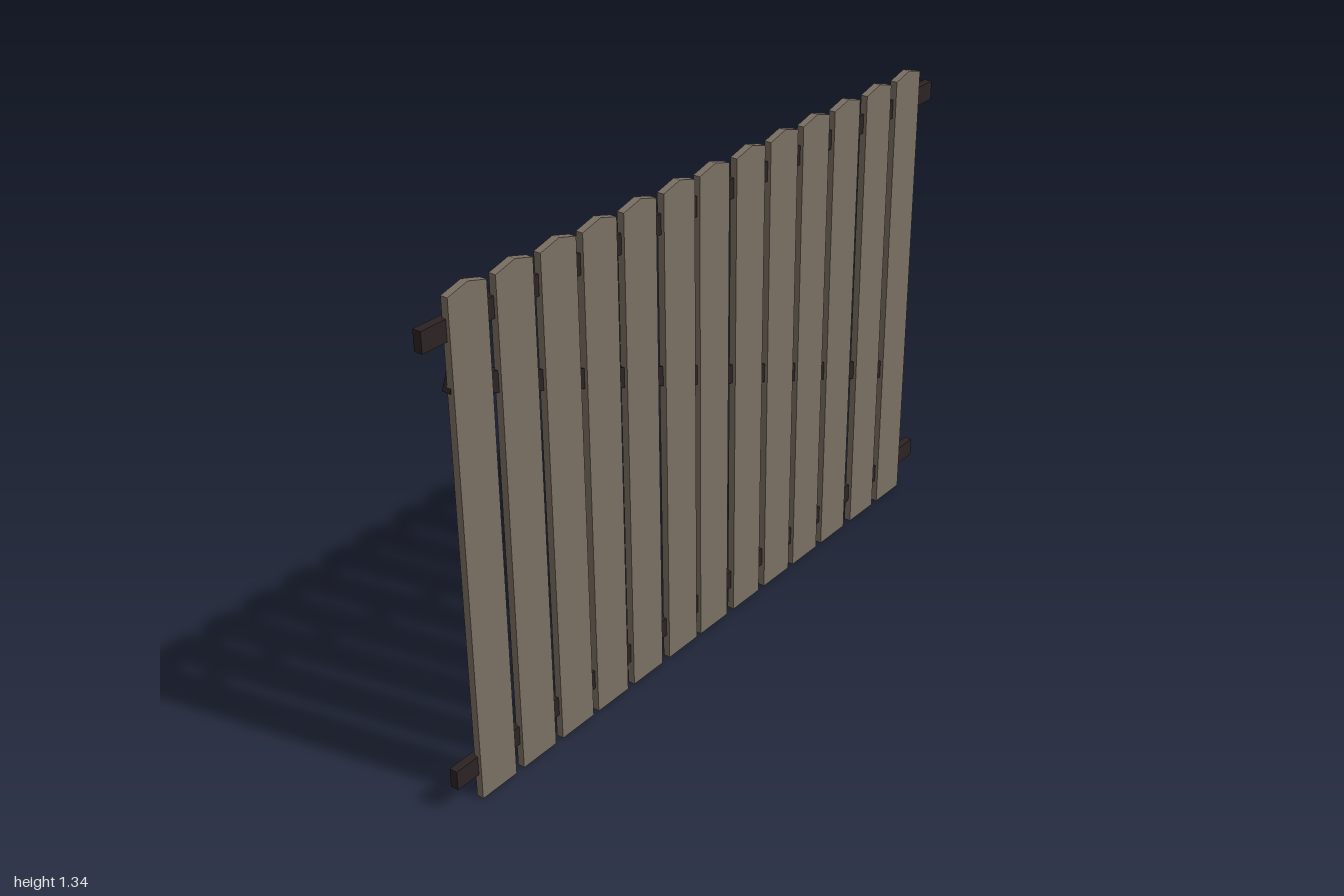
import * as THREE from 'three';

const wood = new THREE.MeshStandardMaterial({ color: 0x7b7064 });
wood.name = 'weatheredWood';
const darkWood = new THREE.MeshStandardMaterial({ color: 0x2c2224 });
darkWood.name = 'darkWood';

// Picket centres, slightly uneven like hand-set boards
const picketX = [-0.867, -0.722, -0.58, -0.44, -0.297, -0.151, -0.013,
  0.135, 0.277, 0.419, 0.562, 0.714, 0.86];

// Upright board with a shallow pointed top and a slight lean
function makePicket(x, i) {
  const w = 0.059, lean = i % 3 === 2 ? 0.001 : 0.003;
  const shape = new THREE.Shape([
    [-w - lean, 0], [w - lean, 0], [w, 1.324], [0.003, 1.34], [-w, 1.324],
  ].map(([px, py]) => new THREE.Vector2(px, py)));
  const geometry = new THREE.ExtrudeGeometry(shape, { depth: 0.02, bevelEnabled: false });
  const picket = new THREE.Mesh(geometry, wood);
  picket.name = `picket${i + 1}`;
  picket.position.set(x, 0, -0.004);
  return picket;
}

// Long bar behind the pickets
function makeBar(name, length, height, y, angle = 0) {
  const bar = new THREE.Mesh(new THREE.BoxGeometry(length, height, 0.023), darkWood);
  bar.name = name;
  bar.position.set(0, y, -0.0045);
  bar.rotation.z = angle;
  return bar;
}

export function createModel() {
  const fence = new THREE.Group();
  fence.name = 'fencePanel';

  const pickets = new THREE.Group();
  pickets.name = 'pickets';
  picketX.forEach((x, i) => pickets.add(makePicket(x, i)));

  // Two level rails and one diagonal brace
  const frame = new THREE.Group();
  frame.name = 'backFrame';
  frame.add(
    makeBar('topRail', 2, 0.053, 1.246),
    makeBar('bottomRail', 2, 0.053, 0.095),
    makeBar('diagonalBrace', 1.98, 0.05, 0.76, -0.373),
  );

  fence.add(pickets, frame);
  return fence;
}
